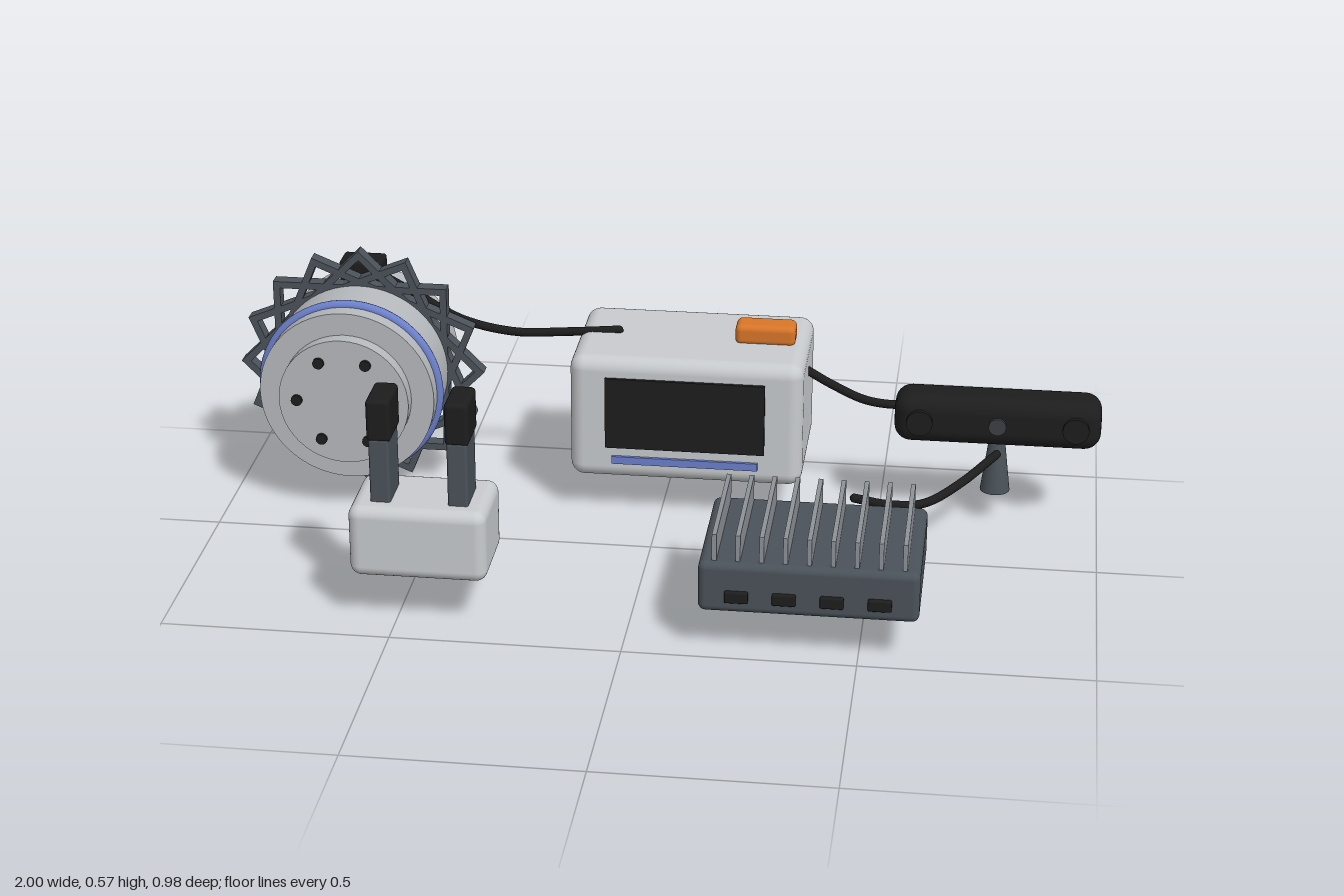
import * as THREE from 'three';
import { RoundedBoxGeometry } from 'three/addons/geometries/RoundedBoxGeometry.js';

const mat = (name, color) => new THREE.MeshStandardMaterial({ name, color });

export function createModel() {
  const shell = mat('light grey shell', 0xc8cbce);
  const metal = mat('brushed metal', 0xb6b9bd);
  const finGrey = mat('fin grey', 0x8d9297);
  const slate = mat('dark slate', 0x4a5259);
  const black = mat('black', 0x1d1d1e);
  const blue = mat('blue accent', 0x6c80cc);
  const orange = mat('orange', 0xd87528);
  const lensGrey = mat('lens grey', 0x3c3f45);

  const root = new THREE.Group();
  root.name = 'robotKit';
  const group = (name) => {
    const g = new THREE.Group();
    g.name = name;
    root.add(g);
    return g;
  };
  const add = (parent, name, geometry, material, x = 0, y = 0, z = 0) => {
    const m = new THREE.Mesh(geometry, material);
    m.name = name;
    m.position.set(x, y, z);
    parent.add(m);
    return m;
  };
  // Box given by its limits, optionally rounded
  const box = (parent, name, material, [x0, x1], [y0, y1], [z0, z1], r = 0) => {
    const size = [x1 - x0, y1 - y0, z1 - z0];
    const geo = r ? new RoundedBoxGeometry(...size, 4, r) : new THREE.BoxGeometry(...size);
    return add(parent, name, geo, material, (x0 + x1) / 2, (y0 + y1) / 2, (z0 + z1) / 2);
  };
  // Cylinder along z between two depths
  const disc = (parent, name, material, r, x, y, z0, z1, sides = 48) => {
    const geo = new THREE.CylinderGeometry(r, r, z1 - z0, sides).rotateX(Math.PI / 2);
    return add(parent, name, geo, material, x, y, (z0 + z1) / 2);
  };
  const cable = (parent, name, points, r = 0.01) => {
    const curve = new THREE.CatmullRomCurve3(points.map((p) => new THREE.Vector3(...p)));
    add(parent, name, new THREE.TubeGeometry(curve, 40, r, 10), black);
    for (const i of [0, points.length - 1]) {
      add(parent, name + 'End', new THREE.SphereGeometry(r, 10, 8), black, ...points[i]);
    }
  };

  // Joint motor
  const motor = group('jointMotor');
  const cx = -0.7125, cy = 0.291;
  disc(motor, 'motorBody', metal, 0.202, cx, cy, -0.405, -0.105, 64);
  disc(motor, 'outputFlange', metal, 0.15, cx, cy, -0.11, -0.07);
  add(motor, 'accentRing', new THREE.TorusGeometry(0.203, 0.012, 12, 64), blue, cx, cy, -0.155);
  for (let i = 0; i < 6; i++) {
    const a = (i * Math.PI) / 3;
    disc(motor, 'flangeBolt', black, 0.013, cx + 0.108 * Math.cos(a), cy + 0.108 * Math.sin(a), -0.075, -0.063, 16);
  }

  // Star ring of four turned square frames
  const square = (path, r) => {
    for (let i = 0; i < 4; i++) {
      const a = (i * Math.PI) / 2;
      path[i ? 'lineTo' : 'moveTo'](r * Math.cos(a), r * Math.sin(a));
    }
    path.closePath();
    return path;
  };
  const frame = square(new THREE.Shape(), 0.2875);
  frame.holes.push(square(new THREE.Path(), 0.265));
  const frameGeo = new THREE.ExtrudeGeometry(frame, { depth: 0.033, bevelEnabled: false });
  for (let i = 0; i < 4; i++) {
    add(motor, 'coolingFrame', frameGeo, slate, cx, cy, -0.308).rotation.z = (i * Math.PI) / 8;
  }
  box(motor, 'motorPlug', black, [-0.765, -0.665], [0.483, 0.541], [-0.372, -0.306], 0.008);

  // Control box with screen, light strip and stop button
  const control = group('controlBox');
  box(control, 'controlHousing', shell, [-0.208, 0.325], [0.093, 0.391], [-0.49, -0.158], 0.032);
  box(control, 'screen', black, [-0.125, 0.24], [0.175, 0.346], [-0.159, -0.15]);
  box(control, 'lightStrip', blue, [-0.11, 0.225], [0.135, 0.153], [-0.159, -0.151]);
  box(control, 'stopButton', orange, [0.157, 0.295], [0.385, 0.434], [-0.354, -0.29], 0.014);

  // Depth camera on a conical stand
  const camera = group('sensorBar');
  box(camera, 'sensorHousing', black, [0.53, 0.997], [0.2, 0.316], [-0.312, -0.198], 0.038);
  disc(camera, 'leftLens', black, 0.03, 0.94, 0.258, -0.21, -0.188, 24);
  disc(camera, 'rightLens', black, 0.03, 0.588, 0.258, -0.21, -0.188, 24);
  disc(camera, 'middleLens', lensGrey, 0.02, 0.764, 0.258, -0.21, -0.19, 24);
  add(camera, 'stand', new THREE.CylinderGeometry(0.017, 0.034, 0.135, 24), slate, 0.764, 0.1425, -0.255);

  // Finned computer
  const computer = group('finnedComputer');
  box(computer, 'computerBody', slate, [0.16, 0.626], [0.1, 0.215], [0.148, 0.481], 0.016);
  for (let i = 0; i < 9; i++) {
    const x = 0.193 + i * 0.05;
    box(computer, 'coolingFin', finGrey, [x - 0.005, x + 0.005], [0.21, 0.275], [0.165, 0.465]);
  }
  for (let i = 0; i < 4; i++) {
    const x = 0.242 + i * 0.1005;
    box(computer, 'port', black, [x - 0.025, x + 0.025], [0.128, 0.154], [0.475, 0.491], 0.004);
  }

  // Two finger gripper
  const gripper = group('gripper');
  box(gripper, 'gripperBase', shell, [-0.596, -0.298], [0.111, 0.275], [0.245, 0.44], 0.025);
  for (const x of [-0.53, -0.362]) {
    box(gripper, 'finger', slate, [x - 0.022, x + 0.022], [0.265, 0.42], [0.3, 0.4], 0.006);
    box(gripper, 'fingerPad', black, [x - 0.026, x + 0.026], [0.413, 0.51], [0.294, 0.4], 0.01);
  }

  // Cables
  const cables = group('cables');
  cable(cables, 'motorCable', [
    [-0.68, 0.51, -0.325], [-0.58, 0.455, -0.325], [-0.48, 0.402, -0.325],
    [-0.36, 0.378, -0.325], [-0.24, 0.384, -0.325], [-0.115, 0.395, -0.325],
  ]);
  cable(cables, 'sensorCable', [
    [0.315, 0.322, -0.325], [0.38, 0.285, -0.325], [0.46, 0.25, -0.325],
    [0.54, 0.243, -0.325], [0.62, 0.258, -0.325],
  ]);
  cable(cables, 'computerCable', [
    [0.465, 0.224, 0.146], [0.535, 0.172, 0.06], [0.615, 0.138, -0.03],
    [0.69, 0.152, -0.115], [0.765, 0.192, -0.19],
  ]);

  return root;
}
